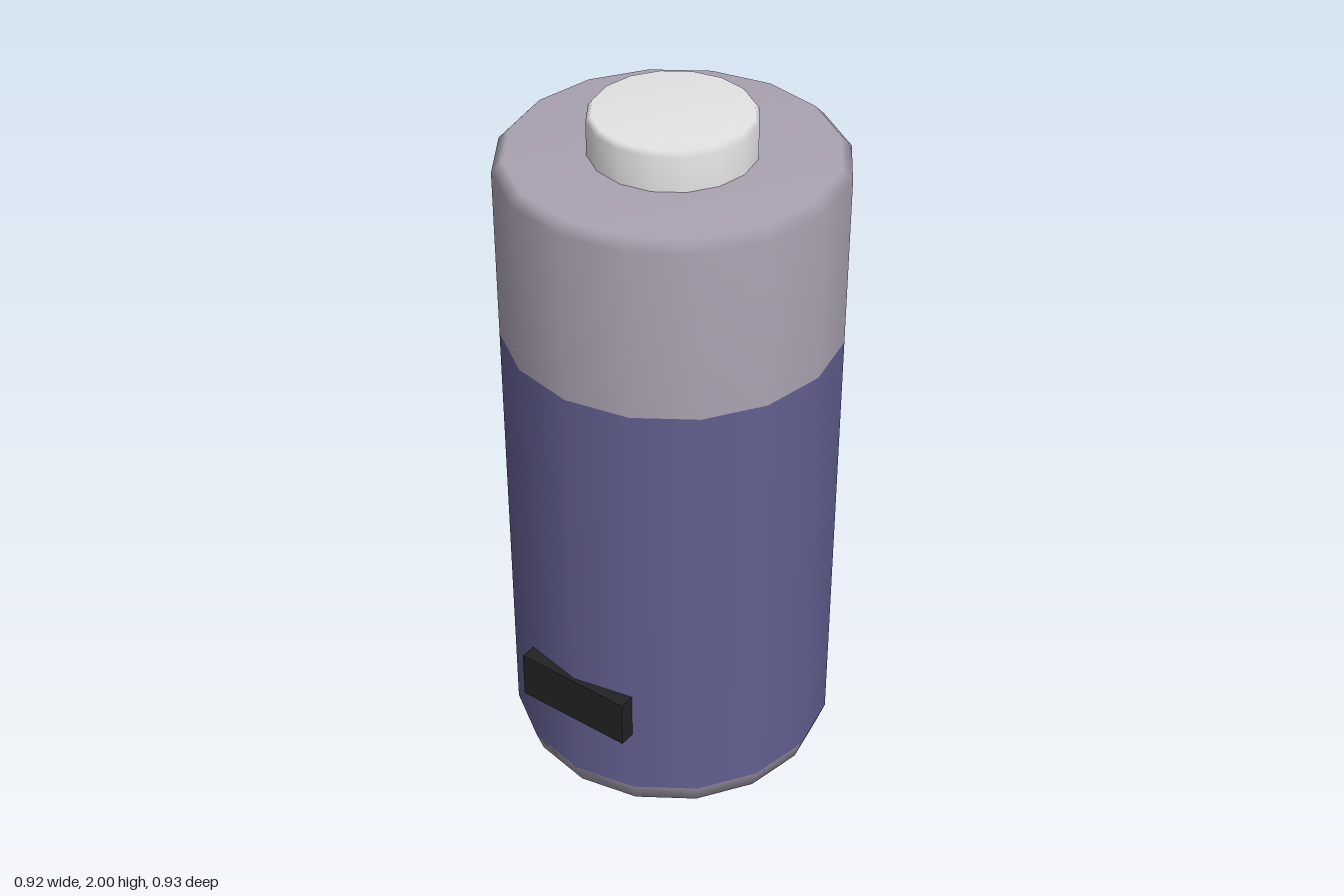
import * as THREE from 'three';

const SIDES = 16;
const AXIS_Z = -0.006;

export function createModel() {
  const group = new THREE.Group();
  const mat = (name, color) => {
    const m = new THREE.MeshStandardMaterial({ color });
    m.name = name;
    return m;
  };
  const casing = mat('casing grey', 0xaaa2b2);
  const band = mat('band blue', 0x625f90);
  const metal = mat('terminal white', 0xe4e4e4);
  const black = mat('label black', 0x222222);

  // Turned part from a bottom-to-top profile of [radius, height]
  const turn = (name, profile, material) => {
    const points = profile.map(([r, y]) => new THREE.Vector2(r, y));
    const mesh = new THREE.Mesh(new THREE.LatheGeometry(points, SIDES), material);
    mesh.name = name;
    mesh.position.z = AXIS_Z;
    group.add(mesh);
  };

  // Casing, from the contact at the bottom to the raised terminal
  turn('baseContact', [[0, 0], [0.395, 0], [0.395, 0.04]], casing);
  turn('bottomRim', [[0.39, 0.04], [0.437, 0.04], [0.458, 0.1]], casing);
  turn('colourBand', [[0.458, 0.1], [0.458, 1.38]], band);
  turn('topCasing', [[0.458, 1.38], [0.458, 1.86], [0.43, 1.89], [0, 1.89]], casing);
  turn('terminal', [[0.219, 1.89], [0.219, 1.985], [0.208, 2], [0, 2]], metal);

  // Small block set into the front of the band
  const label = new THREE.Mesh(new THREE.BoxGeometry(0.346, 0.14, 0.046), black);
  label.name = 'frontLabel';
  label.position.set(0, 0.37, 0.44);
  group.add(label);

  return group;
}
